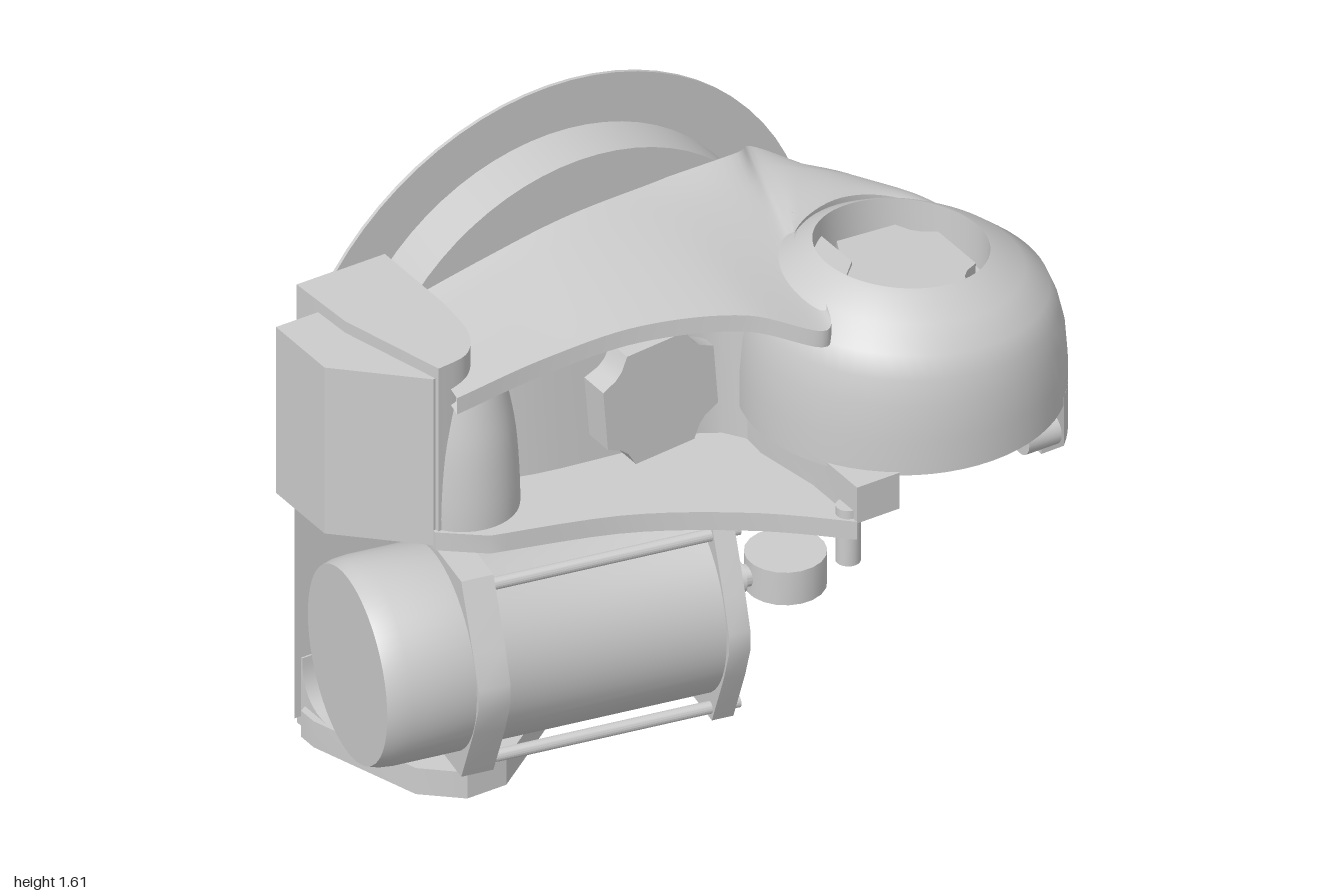
import * as THREE from 'three';
import { toCreasedNormals } from 'three/addons/utils/BufferGeometryUtils.js';

const mat = new THREE.MeshStandardMaterial({ color: 0xcccccc, side: THREE.DoubleSide });

export function createModel() {
  const root = new THREE.Group();

  const add = (name, geo, parent = root, crease = 0.6) => {
    const mesh = new THREE.Mesh(toCreasedNormals(geo, crease), mat);
    mesh.name = name;
    parent.add(mesh);
    return mesh;
  };

  // Smooth run of points through a few controls
  const curve = (pts, n = 16) =>
    new THREE.SplineCurve(pts.map(p => new THREE.Vector2(...p))).getPoints(n).map(p => [p.x, p.y]);

  // Plan outline in (x, z), raised from y0 to y1
  const slab = (pts, y0, y1) => {
    const shape = new THREE.Shape(pts.map(([x, z]) => new THREE.Vector2(x, -z)));
    return new THREE.ExtrudeGeometry(shape, { depth: y1 - y0, bevelEnabled: false })
      .rotateX(-Math.PI / 2).translate(0, y0, 0);
  };

  const rod = (name, r, len, axis, pos, parent = root) => {
    const geo = new THREE.CylinderGeometry(r, r, len, 20);
    if (axis === 'x') geo.rotateZ(Math.PI / 2);
    const mesh = add(name, geo, parent);
    mesh.position.set(...pos);
    return mesh;
  };

  // Back plate and drum
  const round = (name, r, z0, z1) => {
    const geo = new THREE.CylinderGeometry(r, r, z1 - z0, 72).rotateX(Math.PI / 2);
    add(name, geo).position.set(-0.045, 0.81, (z0 + z1) / 2);
  };
  round('backPlate', 0.805, -0.583, -0.573);
  round('drum', 0.66, -0.575, -0.427);

  // Crowned roof swept between a back rail and a front rail, falling over the flank
  const rail = pts => new THREE.CatmullRomCurve3(pts.map(p => new THREE.Vector3(...p)), false, 'centripetal');
  const back = rail([[-0.6, 1.22, -0.43], [-0.35, 1.27, -0.43], [-0.1, 1.31, -0.43], [0.15, 1.32, -0.43],
    [0.44, 1.32, -0.43], [0.53, 1.27, -0.5], [0.62, 1.24, -0.4], [0.72, 1.2, -0.3], [0.86, 1.1, -0.18], [0.96, 1, -0.02]]);
  const front = rail([[-0.7, 1.2, 0], [-0.45, 1.25, 0.03], [-0.2, 1.3, 0.1], [0.05, 1.31, 0.22], [0.22, 1.27, 0.34],
    [0.29, 1.29, 0.2], [0.36, 1.3, -0.04], [0.56, 1.285, -0.15], [0.73, 1.24, -0.14], [0.87, 1.18, 0]]);
  const U = 72, V = 12, ring = V + 3, lip = 0.05;
  const pos = [], idx = [];
  for (let i = 0; i <= U; i++) {
    const b = back.getPoint(i / U), f = front.getPoint(i / U);
    pos.push(b.x, b.x > 0.46 ? 0.88 : b.y - lip, b.z);
    for (let j = 0; j <= V; j++) {
      const v = j / V;
      const rise = Math.sqrt(1 - (1 - v) ** 2);
      pos.push(b.x + (f.x - b.x) * v, b.y + (f.y - b.y) * rise, b.z + (f.z - b.z) * v);
    }
    pos.push(f.x, f.y - lip, f.z);
    for (let j = 0; j < ring && i < U; j++) {
      const a = i * ring + j, c = i * ring + (j + 1) % ring;
      idx.push(a, c, a + ring, c, c + ring, a + ring);
    }
  }
  const roof = new THREE.BufferGeometry();
  roof.setAttribute('position', new THREE.Float32BufferAttribute(pos, 3));
  roof.setIndex(idx);
  add('armRoof', roof);

  // Recessed core, with its top following the crown of the roof
  const recess = curve([[0.3, 0.25], [0.22, 0.12], [0.12, -0.05], [-0.1, -0.09], [-0.36, -0.13], [-0.52, -0.18]]);
  const core = slab([[-0.62, -0.43], [0.45, -0.43], [0.45, 0.1], ...recess], 0.75, 1.2);
  const cp = core.attributes.position;
  for (let i = 0; i < cp.count; i++) {
    if (cp.getY(i) > 1) cp.setY(i, 1.27 - 0.18 * Math.max(0, -cp.getX(i) - 0.1));
  }
  add('armCore', core);

  // Flank underside, floor lip and tab
  const flank = curve([[0.53, -0.5], [0.62, -0.4], [0.72, -0.3], [0.86, -0.18], [0.95, -0.02]]);
  add('armFlank', slab([[0.3, -0.43], [0.44, -0.43], ...flank, [0.85, 0.1], [0.35, 0.1]], 0.88, 1));
  const floorEdge = curve([[0.2, 0.51], [0, 0.33], [-0.28, 0.16], [-0.63, 0.05]]);
  add('floorLip', slab([[-0.72, -0.43], [0.3, -0.43], [0.33, 0.3], ...floorEdge, [-0.74, -0.04]], 0.725, 0.78));
  const tabInner = curve([[0.33, 0.51], [0.39, 0.3], [0.4, 0.1], [0.38, -0.22]]);
  add('hubTab', slab([[0.2, 0.51], ...tabInner, [0.2, -0.22], [0.17, 0.1], [0.2, 0.3]], 0.775, 0.885));
  rod('tabPin', 0.033, 0.17, 'y', [0.205, 0.72, 0.46]);

  // Rounded hub with a sunken top, leaning slightly outward
  const profile = [[0, 0.875], [0.43, 0.875], [0.43, 0.97], [0.423, 1.07], [0.408, 1.14], [0.385, 1.2],
    [0.32, 1.255], [0.25, 1.3], [0.23, 1.31], [0.225, 1.18], [0, 1.18]];
  const hub = new THREE.LatheGeometry(profile.map(p => new THREE.Vector2(...p)), 64);
  const hp = hub.attributes.position;
  for (let i = 0; i < hp.count; i++) {
    const t = Math.max(0, (hp.getY(i) - 0.875) / 0.43);
    hp.setY(i, hp.getY(i) - 0.09 * hp.getX(i) * t);
  }
  add('hub', hub).position.set(0.57, 0, 0.15);
  const skirt = [];
  for (let i = 0; i <= 16; i++) {
    const a = -0.46 + 1.26 * i / 16;
    skirt.push([0.57 + 0.43 * Math.cos(a), 0.15 + 0.43 * Math.sin(a)]);
  }
  add('hubSkirt', slab([[0.8, -0.04], ...skirt, [0.8, 0.46]], 0.75, 0.9));
  for (const z of [0.465, -0.07]) rod('hubPin', 0.045, 0.1, 'x', [0.78, 0.825, z]);

  // Notched square bosses
  const notch = [];
  for (let k = 0; k < 4; k++) {
    for (const [x, y] of [[0.17, -0.09], [0.17, 0.09], [0.13, 0.11], [0.11, 0.13]]) {
      const a = k * Math.PI / 2;
      notch.push([x * Math.cos(a) - y * Math.sin(a), x * Math.sin(a) + y * Math.cos(a)]);
    }
  }
  const hubBoss = add('hubBoss', slab(notch, -0.08, 0.02));
  hubBoss.position.set(0.57, 1.23, 0.15);
  hubBoss.rotation.z = -0.07;
  const webBoss = add('webBoss', slab(notch, -0.08, 0.04).rotateX(Math.PI / 2));
  webBoss.position.set(-0.06, 0.965, -0.06);
  webBoss.rotation.z = 0.08;

  // Left column, mount and side block
  const bow = curve([[0.15, 0.74], [0.15, 0.85], [0.14, 1], [0.12, 1.12], [0.105, 1.19]]);
  const column = new THREE.LatheGeometry(bow.map(p => new THREE.Vector2(...p)), 40);
  add('column', column).position.set(-0.6, 0, -0.13);
  const mountEdge = curve([[-0.55, -0.3], [-0.57, -0.15], [-0.63, -0.06], [-0.73, -0.04]]);
  add('mount', slab([[-0.82, -0.575], [-0.55, -0.575], ...mountEdge, [-0.81, -0.36]], 0.73, 1.28));
  add('sideBlock', slab([[-0.945, -0.48], [-0.8, -0.48], [-0.7, -0.06], [-0.74, -0.05], [-0.945, -0.25]], 0.735, 1.245));

  // Back wall with its lower corner cut away, side strip and foot with a filleted inner corner
  const wall = new THREE.Shape([[-0.82, 0.74], [-0.82, 0.2], [-0.25, 0.02], [-0.1, 0.02], [0, 0.2], [-0.5, 0.74]]
    .map(p => new THREE.Vector2(...p)));
  add('backWall', new THREE.ExtrudeGeometry(wall, { depth: 0.145, bevelEnabled: false })).position.z = -0.575;
  add('sideStrip', slab([[-0.85, -0.48], [-0.6, -0.48], [-0.6, -0.43], [-0.92, -0.43]], 0.06, 0.74));
  add('foot', slab([[-0.92, -0.4], [-0.8, -0.47], [-0.25, -0.57], [-0.1, -0.57], [-0.1, -0.43], [-0.25, -0.2],
    [-0.38, -0.08], [-0.6, 0.08], [-0.72, 0.08], [-0.82, -0.01], [-0.92, -0.34]], 0.02, 0.1));
  const fillet = new THREE.Shape();
  fillet.moveTo(0.45, 0.03);
  fillet.lineTo(0.3, 0.03);
  fillet.lineTo(0.3, 0.1);
  fillet.quadraticCurveTo(0.425, 0.1, 0.425, 0.24);
  fillet.lineTo(0.45, 0.24);
  add('footFillet', new THREE.ExtrudeGeometry(fillet, { depth: 0.65, bevelEnabled: false })
    .rotateY(Math.PI / 2)).position.x = -0.9;

  // Motor: built along its own x axis, end plate face at the origin
  const motor = new THREE.Group();
  motor.name = 'motor';
  motor.position.set(0.035, 0.4, 0.055);
  motor.rotation.y = -0.183;
  root.add(motor);
  const barrel = [[0, -1.005], [0.268, -1.005], [0.276, -0.98], [0.28, -0.94], [0.28, -0.71], [0.275, -0.7], [0.275, -0.03], [0, -0.03]];
  add('barrel', new THREE.LatheGeometry(barrel.map(p => new THREE.Vector2(...p)), 56).rotateZ(-Math.PI / 2), motor);
  const half = [[0.175, -0.3], [0.255, -0.125], [0.29, -0.03], [0.29, 0.03], [0.255, 0.125], [0.175, 0.3]];
  const flange = new THREE.Shape([...half, ...half.map(([x, y]) => [-x, -y])].map(p => new THREE.Vector2(...p)));
  for (const [name, x, depth] of [['collar', -0.76, 0.09], ['endPlate', -0.06, 0.06]]) {
    add(name, new THREE.ExtrudeGeometry(flange, { depth, bevelEnabled: false })
      .rotateY(Math.PI / 2), motor).position.x = x;
  }
  for (const [y, z] of [[-0.265, -0.165], [-0.265, 0.165], [0.265, 0.165]]) {
    rod('tieRod', 0.017, 0.72, 'x', [-0.34, y, z], motor);
  }
  rod('shaft', 0.03, 0.16, 'x', [0.07, 0, 0], motor);
  rod('shaftCollar', 0.042, 0.05, 'x', [0.07, 0, 0], motor);
  rod('shaftEye', 0.108, 0.1, 'y', [0.218, 0, 0], motor);

  return root;
}
